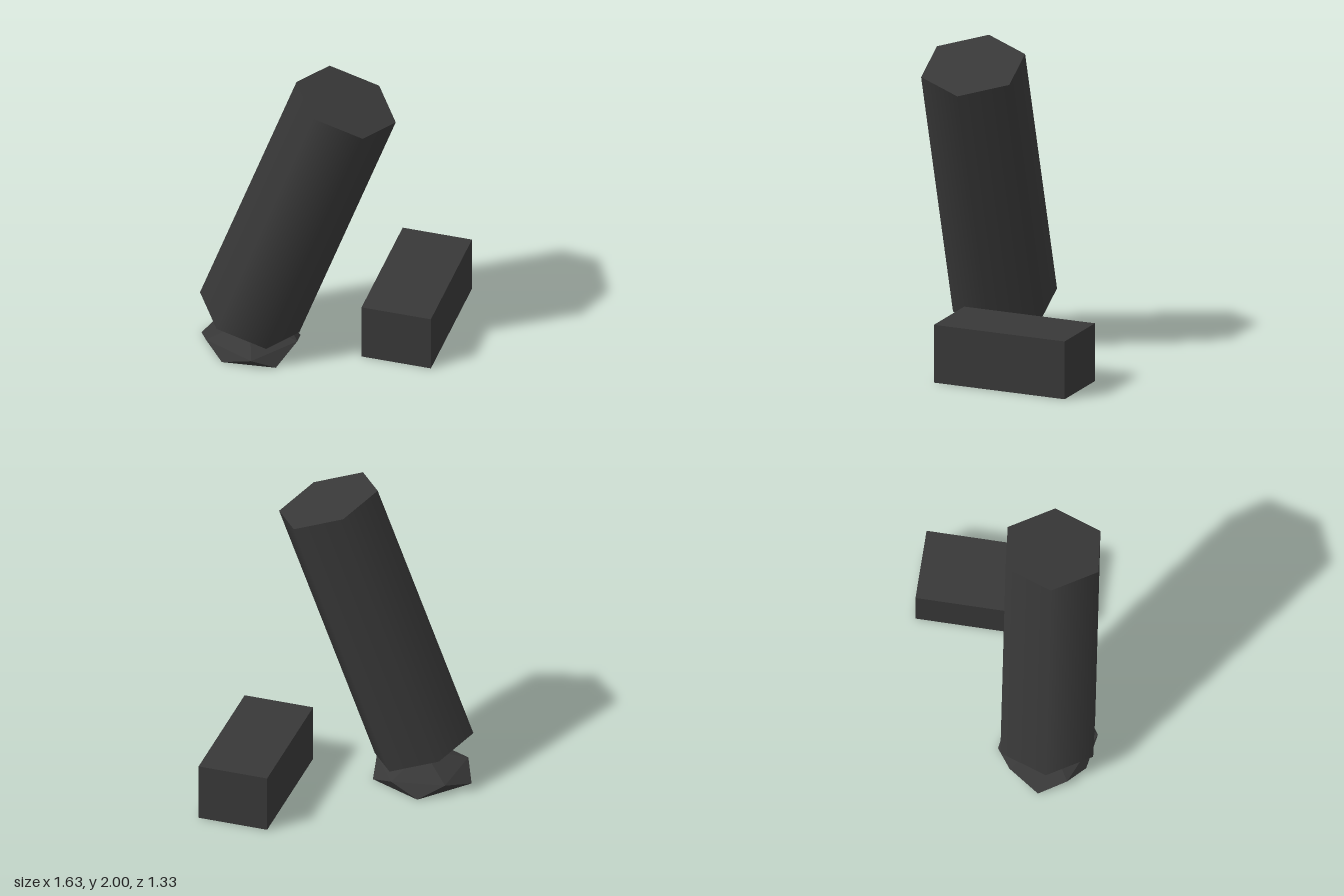
import * as THREE from 'three';

// Faceted stone: apex, upper ring, ground ring and a shallow underside
function stoneGeometry() {
  const at = y => ([x, z]) => [x, y, z];
  const ring = [[-0.195, -0.365], [-0.38, -0.085], [-0.725, -0.17], [-0.725, -0.53], [-0.38, -0.645]].map(at(0.075));
  const base = [[-0.235, -0.18], [-0.6, -0.075], [-0.765, -0.37], [-0.6, -0.668], [-0.235, -0.545]].map(at(0));
  const apex = [-0.49, 0.172, -0.37];
  const under = [-0.48, 0.015, -0.36];
  const pos = [];
  for (let i = 0; i < 5; i++) {
    const j = (i + 1) % 5;
    pos.push(
      ...apex, ...ring[j], ...ring[i],
      ...ring[i], ...ring[j], ...base[i],
      ...base[i], ...ring[j], ...base[j],
      ...under, ...base[i], ...base[j],
    );
  }
  const g = new THREE.BufferGeometry();
  g.setAttribute('position', new THREE.Float32BufferAttribute(pos, 3));
  g.computeVertexNormals();
  return g;
}

export function createModel() {
  const group = new THREE.Group();
  const charcoal = new THREE.MeshStandardMaterial({ color: 0x383838 });
  charcoal.name = 'charcoal';

  const add = (name, geometry) => {
    const mesh = new THREE.Mesh(geometry, charcoal);
    mesh.name = name;
    group.add(mesh);
    return mesh;
  };

  // Leaning six-sided column with smooth sides and flat ends
  const bottom = new THREE.Vector3(-0.49, 0.2225, -0.375);
  const top = new THREE.Vector3(-0.2, 1.8875, 0.155);
  const axis = top.clone().sub(bottom);
  const column = add('leaningColumn', new THREE.CylinderGeometry(0.33, 0.33, axis.length(), 6));
  axis.normalize();
  const side = new THREE.Vector3(0.325, -0.0575, -0.005).cross(axis).negate().normalize(); // axis x corner
  const corner = new THREE.Vector3().crossVectors(side, axis);
  column.quaternion.setFromRotationMatrix(new THREE.Matrix4().makeBasis(side, axis, corner));
  column.position.copy(bottom).add(top).multiplyScalar(0.5);

  // Block lying on the ground
  const block = add('block', new THREE.BoxGeometry(0.885, 0.37, 0.445));
  block.position.set(0.3225, 0.185, 0.2875);
  block.rotation.y = 0.4;

  // Stone under the column
  add('stone', stoneGeometry());

  return group;
}
